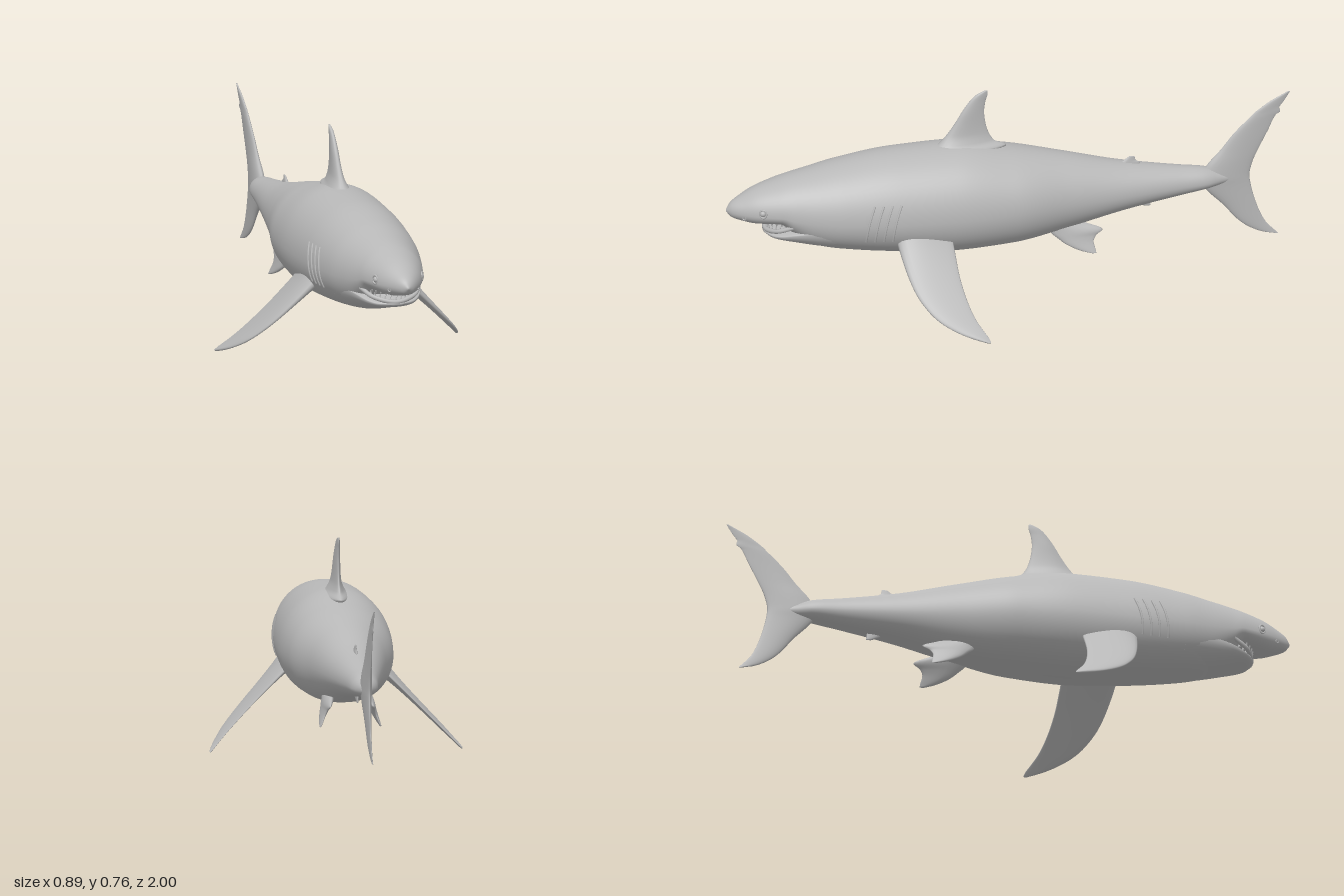
import * as THREE from 'three';

// Smooth, overshoot-free interpolation of rows [key, a, b, ...] with rising keys
function sample(rows, k) {
  let i = 0;
  while (i < rows.length - 2 && k > rows[i + 1][0]) i++;
  const h = rows[i + 1][0] - rows[i][0];
  const t = Math.min(1, Math.max(0, (k - rows[i][0]) / h));
  const secant = (n, c) => (rows[n + 1][c] - rows[n][c]) / (rows[n + 1][0] - rows[n][0]);
  const slope = (n, c) => {
    if (n === 0) return secant(0, c);
    if (n === rows.length - 1) return secant(n - 1, c);
    const p = secant(n - 1, c), q = secant(n, c);
    return p * q <= 0 ? 0 : 2 * p * q / (p + q);
  };
  return rows[0].slice(1).map((_, j) => {
    const c = j + 1, t2 = t * t, t3 = t2 * t;
    return (2 * t3 - 3 * t2 + 1) * rows[i][c] + (t3 - 2 * t2 + t) * h * slope(i, c)
      + (3 * t2 - 2 * t3) * rows[i + 1][c] + (t3 - t2) * h * slope(i + 1, c);
  });
}

// Skin a list of closed rings, cap both ends and face outward
function loft(rings) {
  const n = rings[0].length, m = rings.length, pos = rings.flat(2), index = [];
  for (let i = 0; i < m - 1; i++) {
    for (let j = 0; j < n; j++) {
      const a = i * n + j, b = i * n + (j + 1) % n;
      index.push(a, b, a + n, b, b + n, a + n);
    }
  }
  [0, m - 1].forEach((row, end) => {
    for (let c = 0; c < 3; c++) pos.push(rings[row].reduce((s, p) => s + p[c], 0) / n);
    for (let j = 0; j < n; j++) {
      const a = row * n + j, b = row * n + (j + 1) % n;
      index.push(m * n + end, ...(end ? [a, b] : [b, a]));
    }
  });
  // A negative enclosed volume means the winding is inside out
  const v = (i) => new THREE.Vector3().fromArray(pos, i * 3);
  let volume = 0;
  for (let i = 0; i < index.length; i += 3) volume += v(index[i]).dot(v(index[i + 1]).cross(v(index[i + 2])));
  if (volume < 0) index.reverse();
  const g = new THREE.BufferGeometry();
  g.setAttribute('position', new THREE.Float32BufferAttribute(pos, 3));
  g.setIndex(index);
  g.computeVertexNormals();
  return g;
}

// Rows: z, top, bottom, half width, height of widest point
const BODY = [
  [-0.82, 0.352, 0.338, 0.006, 0.345], [-0.76, 0.368, 0.325, 0.022, 0.345],
  [-0.7, 0.39, 0.315, 0.046, 0.345], [-0.6, 0.405, 0.3, 0.06, 0.345],
  [-0.4, 0.44, 0.268, 0.095, 0.345], [-0.2, 0.49, 0.225, 0.135, 0.35],
  [0, 0.535, 0.193, 0.183, 0.355], [0.2, 0.566, 0.185, 0.197, 0.355],
  [0.4, 0.561, 0.2, 0.19, 0.355], [0.6, 0.535, 0.225, 0.168, 0.36],
  [0.7, 0.514, 0.247, 0.145, 0.365], [0.78, 0.497, 0.3, 0.122, 0.375],
  [0.82, 0.486, 0.338, 0.11, 0.385], [0.9, 0.46, 0.34, 0.08, 0.385],
  [0.95, 0.434, 0.35, 0.052, 0.385], [0.985, 0.411, 0.363, 0.025, 0.385],
  [1, 0.388, 0.382, 0.003, 0.385],
];
const JAW = [
  [0.6, 0.35, 0.23, 0.158, 0.33], [0.7, 0.34, 0.248, 0.135, 0.325],
  [0.78, 0.328, 0.268, 0.112, 0.315], [0.82, 0.316, 0.278, 0.09, 0.305],
  [0.85, 0.309, 0.286, 0.06, 0.3], [0.868, 0.304, 0.295, 0.02, 0.3],
];
const FULL = 0.84; // below 1 makes the lower flanks fuller than an ellipse

function trunk(rows, steps, sides) {
  const z0 = rows[0][0], z1 = rows[rows.length - 1][0], rings = [];
  for (let i = 0; i <= steps; i++) {
    const z = z1 + (z0 - z1) * Math.pow(i / steps, 1.4);
    const [top, bottom, w, mid] = sample(rows, z), ring = [];
    for (let j = 0; j < sides; j++) {
      const a = j / sides * Math.PI * 2, s = Math.sin(a), c = Math.cos(a);
      const x = w * Math.sign(s) * Math.pow(Math.abs(s), c < 0 ? FULL : 1);
      ring.push([x, mid + c * (c > 0 ? top - mid : mid - bottom), z]);
    }
    rings.push(ring);
  }
  return loft(rings);
}

// Half width of the body at a height and station
function flank(z, y) {
  const [top, bottom, w, mid] = sample(BODY, z);
  const u = (y - mid) / (y > mid ? top - mid : mid - bottom);
  return w * Math.pow(Math.max(0, 1 - u * u), (y < mid ? FULL : 1) / 2);
}

// Fin rows: span, leading z, trailing z, half thickness
function fin(rows, place, steps = 36, sides = 24) {
  const s0 = rows[0][0], s1 = rows[rows.length - 1][0], rings = [];
  for (let i = 0; i <= steps; i++) {
    const s = s0 + (s1 - s0) * i / steps;
    const [lead, trail, thick] = sample(rows, s), ring = [];
    for (let j = 0; j < sides; j++) {
      const a = j / sides * Math.PI * 2, c = 0.5 - 0.5 * Math.cos(a);
      ring.push(place(s, lead + (trail - lead) * c, thick * Math.sin(a) * (1.4 - 0.8 * c)));
    }
    rings.push(ring);
  }
  return loft(rings);
}

const DORSAL = [
  [0.5, 0.3, 0.06, 0.05], [0.535, 0.285, 0.025, 0.05], [0.545, 0.28, 0.005, 0.045], [0.565, 0.25, 0.048, 0.03],
  [0.6, 0.218, 0.07, 0.017], [0.64, 0.19, 0.081, 0.013], [0.68, 0.166, 0.085, 0.011],
  [0.72, 0.138, 0.08, 0.008], [0.745, 0.113, 0.073, 0.006], [0.758, 0.085, 0.073, 0.003],
];
const TAIL = [
  [0.113, -0.945, -0.957, 0.002], [0.125, -0.895, -0.945, 0.003], [0.165, -0.828, -0.91, 0.006],
  [0.24, -0.762, -0.878, 0.01], [0.32, -0.69, -0.858, 0.016], [0.345, -0.68, -0.855, 0.018],
  [0.39, -0.7, -0.864, 0.016], [0.45, -0.752, -0.89, 0.011], [0.51, -0.8, -0.92, 0.008],
  [0.57, -0.86, -0.95, 0.006], [0.583, -0.873, -0.968, 0.005], [0.592, -0.885, -0.96, 0.005],
  [0.62, -0.925, -0.978, 0.004], [0.655, -0.992, -1, 0.002],
];
const PECTORAL = [
  [0.13, 0.43, 0.23, 0.035], [0.19, 0.42, 0.228, 0.021], [0.25, 0.405, 0.225, 0.014],
  [0.3, 0.385, 0.217, 0.011], [0.35, 0.348, 0.202, 0.009], [0.38, 0.312, 0.188, 0.008],
  [0.41, 0.255, 0.167, 0.006], [0.43, 0.2, 0.152, 0.005], [0.441, 0.16, 0.148, 0.003],
];
const PELVIC = [
  [0.148, -0.275, -0.292, 0.003], [0.16, -0.235, -0.29, 0.006], [0.185, -0.185, -0.285, 0.01],
  [0.205, -0.16, -0.295, 0.013], [0.222, -0.14, -0.32, 0.016], [0.25, -0.12, -0.26, 0.02],
];
const SECOND_DORSAL = [
  [0.41, -0.37, -0.45, 0.01], [0.43, -0.39, -0.468, 0.007], [0.442, -0.408, -0.452, 0.005],
  [0.457, -0.428, -0.448, 0.002],
];
const ANAL = [
  [0.262, -0.485, -0.505, 0.002], [0.272, -0.46, -0.503, 0.005], [0.3, -0.42, -0.5, 0.01],
];

export function createModel() {
  const model = new THREE.Group();
  model.name = 'shark';
  const skin = new THREE.MeshStandardMaterial({ color: 0xb8b8b8 });
  skin.name = 'grey skin';
  const add = (name, geometry) => {
    const mesh = new THREE.Mesh(geometry, skin);
    mesh.name = name;
    model.add(mesh);
    return mesh;
  };
  const curve = (pts) => new THREE.CatmullRomCurve3(pts.map((p) => new THREE.Vector3(...p)));
  const upright = (s, z, o) => [o, s, z];

  add('body', trunk(BODY, 110, 56));
  add('lowerJaw', trunk(JAW, 24, 40));
  add('dorsalFin', fin(DORSAL, upright, 48));
  add('tailFin', fin(TAIL, upright, 64));
  add('secondDorsalFin', fin(SECOND_DORSAL, upright, 16, 16));
  add('analFin', fin(ANAL, upright, 16, 16));

  // Mouth: lip and two rows of teeth
  const arch = (w, yEnd, yMid, zMid) => curve([
    [-w, yEnd, 0.78], [-w * 0.7, yMid + (yEnd - yMid) * 0.4, zMid - 0.028], [0, yMid, zMid],
    [w * 0.7, yMid + (yEnd - yMid) * 0.4, zMid - 0.028], [w, yEnd, 0.78]]);
  const lip = arch(0.106, 0.346, 0.306, 0.862);
  add('lowerLip', new THREE.TubeGeometry(lip, 40, 0.008, 10));
  const tooth = new THREE.ConeGeometry(0.005, 0.018, 6);
  const upperGum = arch(0.088, 0.35, 0.334, 0.868), lowerGum = arch(0.088, 0.344, 0.315, 0.855);
  for (let i = 1; i < 14; i++) {
    const up = add('upperTooth', tooth);
    up.position.copy(upperGum.getPointAt(i / 14));
    up.rotation.x = Math.PI;
    add('lowerTooth', tooth).position.copy(lowerGum.getPointAt((i - 0.5) / 13));
  }

  for (const side of [1, -1]) {
    // Paired fins
    add('pectoralFin', fin(PECTORAL, (s, z, o) => [side * (s + 0.7 * o), 0.441 - s + 0.7 * o, z], 48));
    add('pelvicFin', fin(PELVIC, (s, z, o) => [side * (0.105 - (s - 0.148) * 0.4 + o), s, z], 24, 20));

    // Gill slits following the flank
    for (let i = 0; i < 4; i++) {
      const pts = [];
      for (let k = 0; k <= 8; k++) {
        const t = k / 8, y = 0.295 + 0.135 * t, z = 0.535 - 0.031 * i - 0.03 * t * t;
        pts.push([side * flank(z, y), y, z]);
      }
      add('gillSlit', new THREE.TubeGeometry(curve(pts), 24, 0.004, 8));
    }

    // Eye with its lid, and nostril
    const eye = add('eye', new THREE.SphereGeometry(0.011, 20, 14));
    eye.position.set(side * (flank(0.885, 0.398) - 0.004), 0.398, 0.885);
    const lid = add('eyelid', new THREE.TorusGeometry(0.012, 0.003, 8, 24));
    lid.position.set(side * flank(0.885, 0.398), 0.398, 0.885);
    lid.rotation.y = side * 1.1;
    lid.scale.y = 1.25;
    const nostril = add('nostril', new THREE.TorusGeometry(0.006, 0.002, 8, 16));
    nostril.position.set(side * flank(0.945, 0.372), 0.372, 0.945);
    nostril.rotation.y = side * 0.9;
  }
  return model;
}
